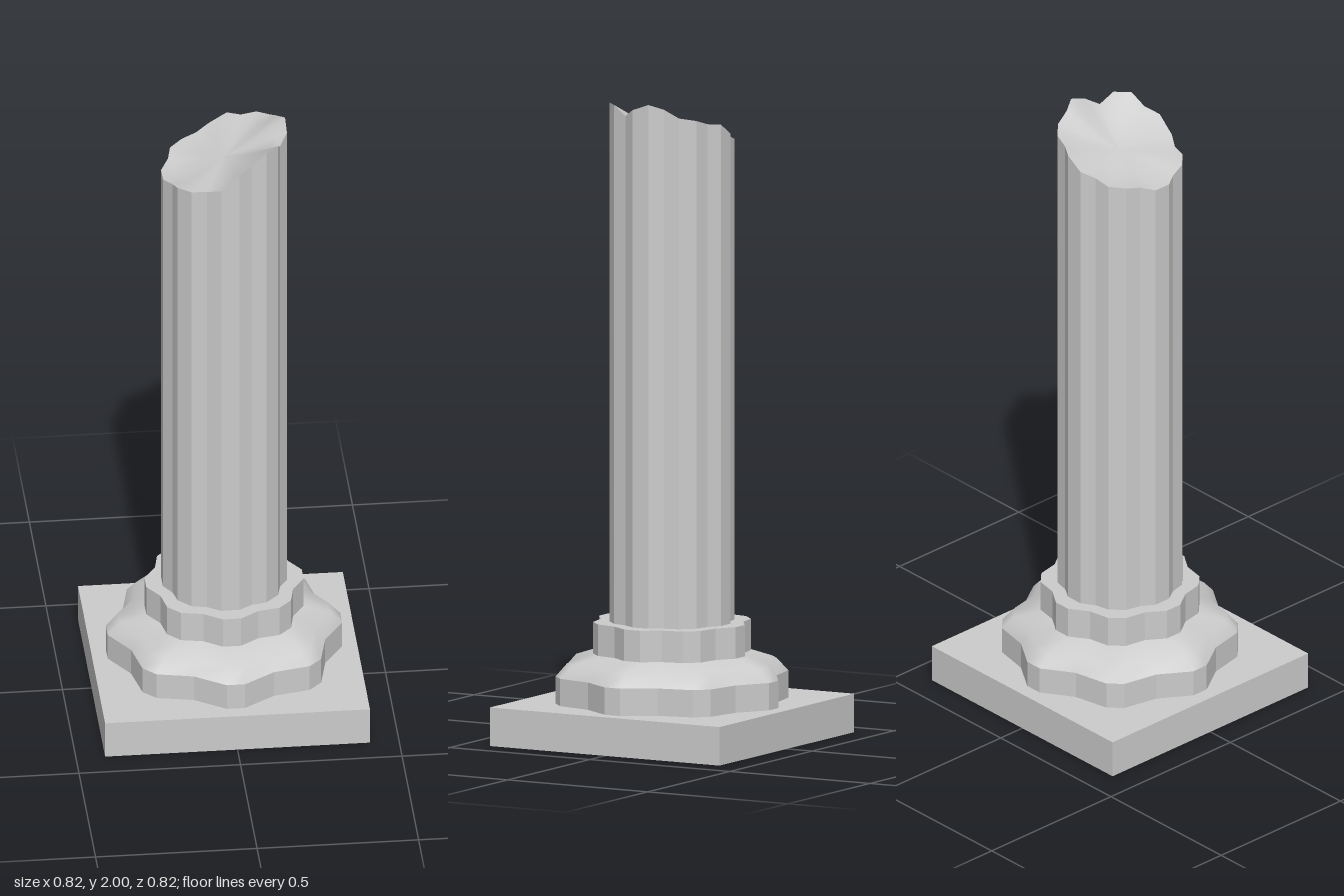
import * as THREE from 'three';

const LOBES = 8;
const HALF_FLAT = 0.028;

// Fluted outline: eight flattened lobes with one valley point between each pair
function outline(lobeR, valleyR, y) {
  const ring = [];
  const add = (a, r) => ring.push([Math.cos(a) * r, y, Math.sin(a) * r]);
  for (let k = 0; k < LOBES; k++) {
    const a = (k / LOBES) * Math.PI * 2;
    const d = Math.asin(HALF_FLAT / lobeR);
    add(a - d, lobeR);
    add(a + d, lobeR);
    add(a + Math.PI / LOBES, valleyR);
  }
  return ring;
}

// Skin between successive rings, listed bottom to top (or outside to inside)
function loft(rings, smooth) {
  const n = rings[0].length;
  const index = [];
  for (let r = 0; r < rings.length - 1; r++) {
    for (let i = 0; i < n; i++) {
      const j = (i + 1) % n;
      const a = r * n + i, b = r * n + j, c = a + n, d = b + n;
      index.push(a, c, b, b, c, d);
    }
  }
  let geo = new THREE.BufferGeometry();
  geo.setAttribute('position', new THREE.Float32BufferAttribute(rings.flat(2), 3));
  geo.setIndex(index);
  if (!smooth) geo = geo.toNonIndexed();
  geo.computeVertexNormals();
  return geo;
}

const flatLid = (ring) => loft([ring, ring.map(([, y]) => [0, y, 0])], false);

export function createModel() {
  const group = new THREE.Group();
  const material = new THREE.MeshStandardMaterial({ color: 0xcccccc });
  const add = (name, geo) => {
    const mesh = new THREE.Mesh(geo, material);
    mesh.name = name;
    group.add(mesh);
    return mesh;
  };

  // Square plinth
  add('plinth', new THREE.BoxGeometry(0.82, 0.12, 0.82)).position.y = 0.06;

  // Wide base moulding: upright band with a rounded shoulder
  const bandTop = outline(0.364, 0.325, 0.205);
  add('baseBand', loft([outline(0.364, 0.325, 0.12), bandTop], false));
  add('baseShoulder', loft([
    bandTop,
    outline(0.327, 0.292, 0.245),
    outline(0.245, 0.222, 0.272),
  ], true));

  // Collar around the foot of the shaft
  const collarTop = outline(0.245, 0.222, 0.37);
  add('collar', loft([outline(0.245, 0.222, 0.27), collarTop], false));
  add('collarTop', flatLid(collarTop));

  // Shaft with a jagged, broken rim (heights run from +x towards +z)
  const rimHeights = [
    2.0, 1.98, 1.955, 1.985, 1.985, 1.95, 1.93, 1.88,
    1.865, 1.86, 1.855, 1.84, 1.835, 1.835, 1.85, 1.86,
    1.865, 1.88, 1.895, 1.93, 1.935, 1.95, 1.96, 1.985,
  ];
  const foot = outline(0.194, 0.18, 0.37);
  const rim = foot.map(([x, , z], i) => [x, rimHeights[i], z]);
  add('shaft', loft([foot, rim], false));

  // Broken top: a shallow hollow that climbs to the rim
  const hollow = [1, 0.8, 0.6, 0.4, 0.2, 0].map((t) =>
    rim.map(([x, y, z]) => {
      const base = 1.89 + 0.25 * x * t;
      return [x * t, base + (y - base) * t * t, z * t];
    }));
  add('brokenTop', loft(hollow, true));

  return group;
}
